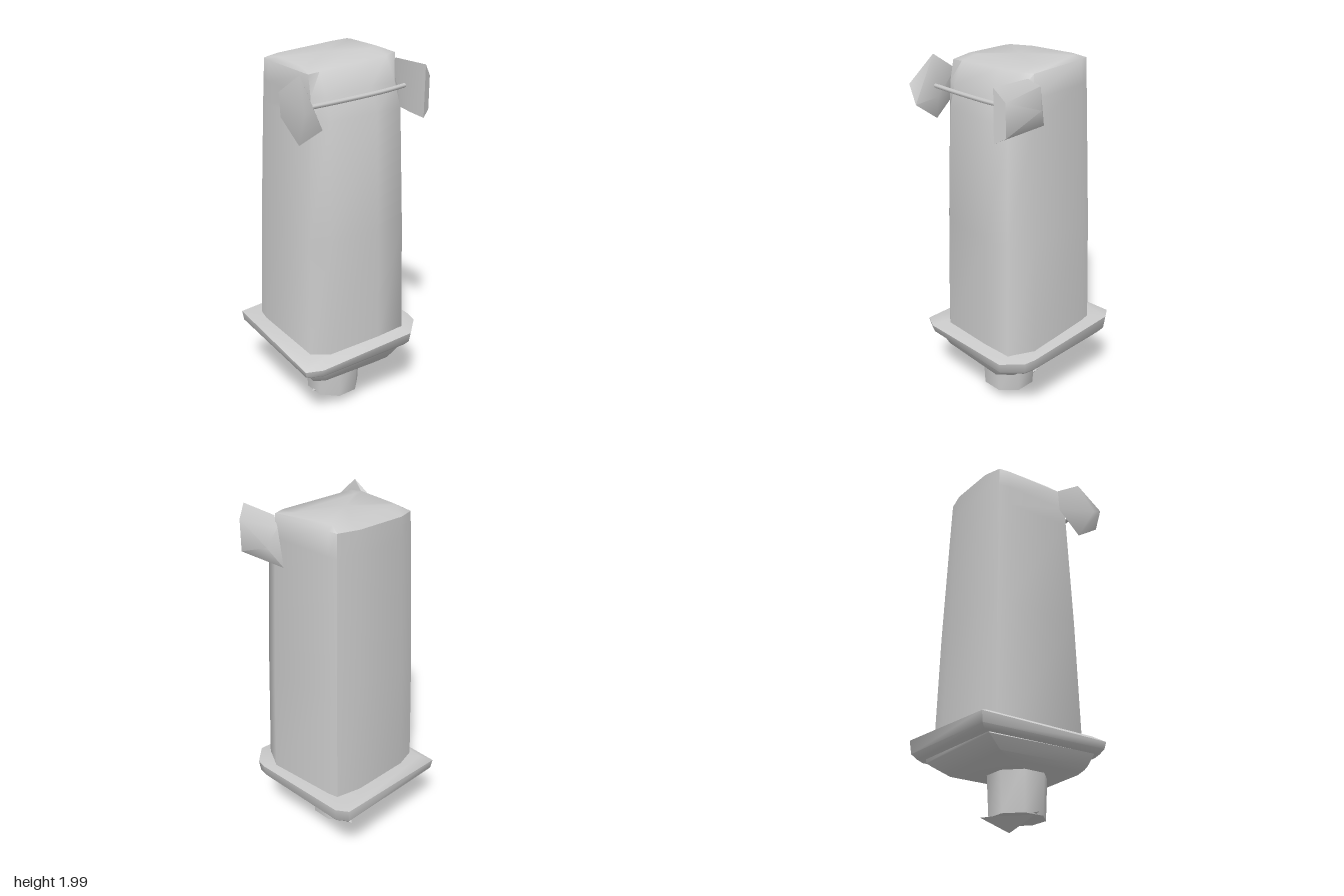
import * as THREE from 'three';
import { toCreasedNormals } from 'three/addons/utils/BufferGeometryUtils.js';
import { ConvexGeometry } from 'three/addons/geometries/ConvexGeometry.js';

const material = new THREE.MeshStandardMaterial({ color: 0xcccccc, side: THREE.DoubleSide });

// Closed skin through rings of [x, y, z] points, capped by a centre point at each end.
function loft(rings, bottomCentre, topCentre, crease) {
  const n = rings[0].length;
  const points = [...rings.flat(), bottomCentre, topCentre];
  const index = [];
  const last = (rings.length - 1) * n;
  const bottom = rings.length * n;
  for (let i = 0; i < n; i++) {
    const j = (i + 1) % n;
    for (let r = 0; r < last; r += n) {
      index.push(r + i, r + n + i, r + j, r + j, r + n + i, r + n + j);
    }
    index.push(bottom, i, j, bottom + 1, last + j, last + i);
  }
  const geometry = new THREE.BufferGeometry();
  geometry.setAttribute('position', new THREE.Float32BufferAttribute(points.flat(), 3));
  geometry.setIndex(index);
  return toCreasedNormals(geometry, crease);
}

// Scaled, shifted and tilted copy of a plan outline of [x, z] points.
function ring(plan, y, scale, dx = 0, dz = 0, tiltX = 0, tiltZ = 0) {
  return plan.map(([px, pz]) => {
    const x = px * scale + dx, z = pz * scale + dz;
    return [x, y + x * tiltX + z * tiltZ, z];
  });
}

// Plans run back left, back right, front right, front left as seen from above.
const bodyPlan = [
  [-0.25, -0.305], [-0.13, -0.325], [0.2, -0.285], [0.335, -0.235], [0.34, -0.18],
  [0.315, 0.22], [0.23, 0.34], [0.06, 0.325], [-0.25, 0.275], [-0.325, 0.2], [-0.27, -0.24],
];
const platePlan = [
  [-0.3, -0.43], [0.385, -0.355], [0.42, -0.29], [0.36, 0.27],
  [0.34, 0.33], [0.23, 0.41], [-0.34, 0.325], [-0.42, 0.275],
];

export function createModel() {
  const model = new THREE.Group();
  const add = (name, geometry) => {
    const mesh = new THREE.Mesh(geometry, material);
    mesh.name = name;
    model.add(mesh);
    return mesh;
  };

  // Tapered body with a sloping front brow and slightly domed top
  const brow = ring(bodyPlan, 1.84, 0.865, 0, 0, 0.03).map(([x, y, z]) => [x, y, Math.min(z, 0.235 + 0.11 * x)]);
  const crown = ring(bodyPlan, 1.955, 0.85, 0, 0, 0.06).map(([x, y, z]) => [x, y, Math.min(z, 0.18 + 0.1 * x)]);
  const dome = crown.map(([x, y, z]) => [x * 0.9, y + 0.02, z * 0.6 - 0.03]);
  add('body', loft([
    ring(bodyPlan, 0.44, 1), ring(bodyPlan, 1.1, 0.95), ring(bodyPlan, 1.72, 0.88), brow, crown, dome,
  ], [0, 0.44, 0], [0, 1.98, -0.03], 1.1));

  // Wide tilted collar around the foot of the body
  add('collar', loft([
    ring(platePlan, 0.375, 0.92, 0, 0, 0.025, -0.01),
    ring(platePlan, 0.4, 0.98, 0, 0, 0.035, -0.01),
    ring(platePlan, 0.455, 1, 0, 0, 0.065, -0.03),
    ring(platePlan, 0.475, 0.86, 0, 0, 0.035, -0.03),
  ], [0, 0.375, 0], [0, 0.475, 0], 1));

  // Narrower tapered flange under the collar
  add('flange', loft([
    ring(platePlan, 0.28, 0.56, -0.055, 0.06),
    ring(platePlan, 0.305, 0.71, -0.03, 0.035),
    ring(platePlan, 0.365, 0.85, -0.01, 0.01),
    ring(platePlan, 0.39, 0.83),
  ], [-0.055, 0.28, 0.06], [0, 0.39, 0], 1));

  // Short eight-sided stem
  const stem = add('stem', toCreasedNormals(new THREE.CylinderGeometry(0.16, 0.148, 0.25, 8), 1));
  stem.position.set(-0.015, 0.19, 0.04);
  stem.rotation.y = 0.3;

  // Pointed wedge beneath the stem
  add('tip', toCreasedNormals(new ConvexGeometry([
    [-0.175, 0.075, 0.04], [0.04, 0.005, 0.035], [0.07, 0.062, -0.13], [0, 0.08, 0.11], [0.08, 0.07, 0.05],
  ].map((p) => new THREE.Vector3(...p))), 0.5));

  // Faceted side lugs, one at each front corner
  const lugs = {
    leftLug: [
      [0.23, 1.955, 0.43], [0.23, 1.69, 0.43], [0.285, 1.89, 0.41], [0.285, 1.72, 0.41],
      [0.325, 1.81, 0.2], [0.25, 1.95, 0.21], [0.285, 1.91, 0.16], [0.285, 1.71, 0.13], [0.235, 1.7, 0.33],
    ],
    rightLug: [
      [-0.37, 1.96, 0.2], [-0.405, 1.83, 0.34], [-0.36, 1.73, 0.345], [-0.41, 1.8, 0.28],
      [-0.37, 1.62, 0.19], [-0.365, 1.85, 0.04], [-0.365, 1.73, 0.05],
      [-0.325, 1.87, 0.09], [-0.325, 1.75, 0.22],
    ],
  };
  for (const [name, corners] of Object.entries(lugs)) {
    add(name, toCreasedNormals(new ConvexGeometry(corners.map((p) => new THREE.Vector3(...p))), 0.8));
  }

  // Thin bar linking the lugs across the brow
  const bar = new THREE.CatmullRomCurve3([
    [-0.34, 1.805, 0.22], [-0.15, 1.81, 0.25], [0.1, 1.82, 0.285], [0.25, 1.825, 0.285],
  ].map((p) => new THREE.Vector3(...p)));
  add('crossBar', new THREE.TubeGeometry(bar, 10, 0.012, 6));

  return model;
}
